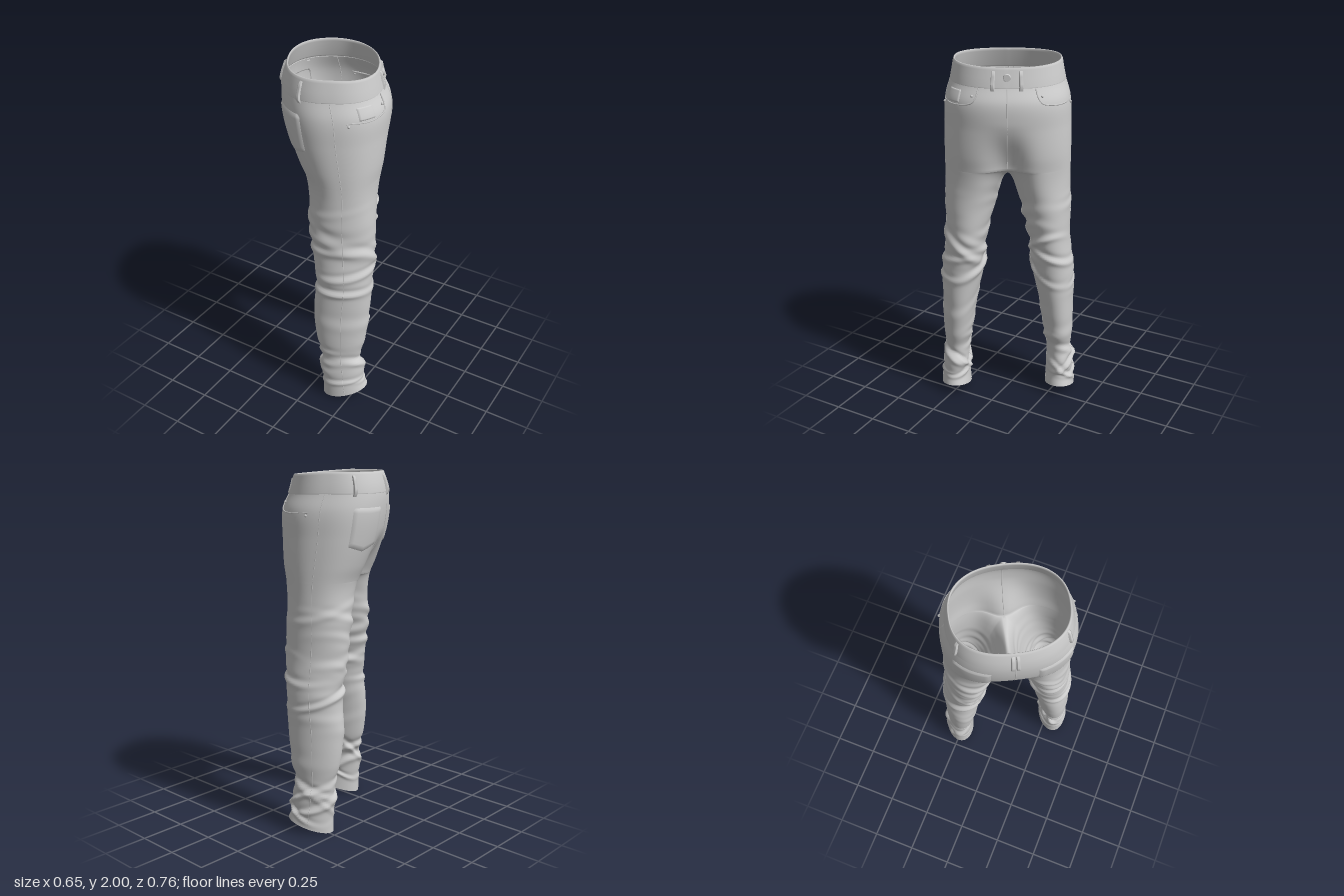
import * as THREE from 'three';
import { mergeGeometries, mergeVertices } from 'three/addons/utils/BufferGeometryUtils.js';

const CROTCH = 1.42, { smoothstep, lerp } = THREE.MathUtils;
const cloth = new THREE.MeshStandardMaterial({ color: 0xcccccc, side: THREE.DoubleSide });

// Smooth lookup of section sizes by height
function table(rows) {
  const n = rows[0].length - 1;
  const curve = new THREE.CubicInterpolant(
    new Float32Array(rows.map(r => r[0])), new Float32Array(rows.flatMap(r => r.slice(1))), n);
  const lo = rows[0][0], hi = rows[rows.length - 1][0];
  return y => Array.from(curve.evaluate(Math.min(hi - 1e-5, Math.max(lo, y))));
}
// height, half width, half depth, centre depth
const hipAt = table([
  [1.1, .342, .17, .012], [1.25, .344, .19, .01], [1.42, .346, .222, .002], [1.5, .347, .246, -.008],
  [1.65, .345, .272, -.027], [1.8, .337, .284, -.04], [1.9, .308, .262, -.059], [2, .287, .234, -.055],
]);
// height, centre across, centre depth, half width, half depth
const legAt = table([
  [0, .312, .026, .088, .13], [.1, .312, .015, .082, .12], [.2, .309, .01, .078, .126],
  [.3, .303, .001, .072, .114], [.4, .296, 0, .085, .138], [.6, .281, .003, .1, .158],
  [.8, .26, .016, .119, .158], [1, .236, .011, .117, .174], [1.2, .213, .003, .14, .182], [1.42, .195, 0, .152, .2],
]);

// Seeded cloth folds for each leg: thigh, knee, calf and ankle groups
function makeFolds(seed) {
  const rnd = () => (seed = (seed * 16807) % 2147483647) / 2147483647;
  const folds = [];
  // count, lowest, highest, size, width, first angle, angle range (0 is front, PI/2 outside)
  for (const [count, y0, y1, amp, width, from, range] of [
    [7, 1, 1.34, .008, .026, 1.5, 3.2], [8, .76, 1.02, .01, .022, 0, 6.28],
    [3, .4, .7, .004, .04, 0, 6.28], [7, .1, .34, .012, .018, 0, 6.28]])
    for (let i = 0; i < count; i++) folds.push({
      y: lerp(y0, y1, (i + rnd() * .8) / count), angle: from + rnd() * range,
      amp: amp * (.6 + .7 * rnd()), tilt: (rnd() - .5) * .2, width: width * (.7 + .6 * rnd()),
    });
  return folds;
}
const foldSets = { 1: makeFolds(4711), '-1': makeFolds(90210) };

// Half of the hip section: t = 0 front centre, 1 back centre (the back is flatter)
function hip(t, y) {
  const [w, d, c] = hipAt(y), k = Math.cos(t * Math.PI);
  const a = w * Math.pow(Math.max(0, Math.sin(t * Math.PI)), .87);
  let f = d * Math.sign(k) * Math.pow(Math.abs(k), k < 0 ? .8 : .87);
  f *= 1 - .3 * (1 - smoothstep(y, 1.42, 1.7)) * Math.exp(-((a / .1) ** 2));
  return new THREE.Vector3(a, y - .018 * Math.max(0, k) * smoothstep(y, 1.75, 2), f + c);
}
// Any point of one half: t 0..1 runs round the outside, 1..2 back along the inside leg
function point(side, t, y) {
  if (y >= CROTCH && t <= 1) { const p = hip(t, y); p.x *= side; return p; }
  const [la, lf, ra, rf] = legAt(y);
  const drop = Math.min(1, (CROTCH - y) / .26), inner = t > 1 ? Math.sin((t - 1) * Math.PI) : 0;
  // The inside leaves the crotch in a round arch, the outside more gently
  const arch = t > 1 ? 1 : Math.abs(Math.cos(t * Math.PI)) ** 6;
  const w = lerp(smoothstep(drop, 0, 1), Math.sqrt(drop * (2 - drop)), arch);
  const angle = t <= 1 ? -.9 + t * (Math.PI + 1.8) : Math.PI + .9 + (t - 1) * (Math.PI - 1.8);
  const top = t <= 1 ? hip(t, y) : hip(1, y).lerp(hip(0, y), t - 1);
  if (t > 1) top.x = 0;
  let bump = 0;
  for (const q of foldSets[side]) {
    const r = (y - q.y - q.tilt * Math.sin(angle - q.angle)) / q.width;
    if (Math.abs(r) < 4) bump += q.amp * (Math.exp(-r * r) - .6 * Math.exp(-((r - 1.5) ** 2)))
      * (.5 + .5 * Math.cos(angle - q.angle)) ** 1.5;
  }
  bump *= drop * smoothstep(y, 0, .08);
  const a = lerp(top.x, la + (ra + bump) * Math.sin(angle), w);
  const f = lerp(top.z, lf + (rf + bump) * Math.cos(angle), w);
  const hem = Math.max(0, 1 - y / .15) * (.036 + .27 * (f - lf));
  return new THREE.Vector3(side * a, y - .05 * inner * (1 - drop) + hem, f);
}
// Point lifted off the cloth along its normal
function lifted(side, t, y, off) {
  const e = .004, p = point(side, t, y), end = t <= 1 ? 1 : 2;
  const du = point(side, Math.min(end, t + e), y).sub(point(side, Math.max(0, t - e), y));
  const dv = point(side, t, Math.min(2, y + e)).sub(point(side, t, y - e));
  const n = du.cross(dv).multiplyScalar(side);
  if (t === 0 || t === 1) n.x = 0;
  return p.addScaledVector(n.normalize(), off);
}

// Grid surface from a rule of column and row
function grid(nu, nv, side, fn) {
  const pos = [], index = [];
  for (let j = 0; j <= nv; j++) for (let i = 0; i <= nu; i++) pos.push(...fn(i, j).toArray());
  for (let j = 0; j < nv; j++) for (let i = 0; i < nu; i++) {
    const a = j * (nu + 1) + i, b = a + 1, c = b + nu + 1, d = c - 1;
    index.push(...(side > 0 ? [a, b, c, a, c, d] : [a, c, b, a, d, c]));
  }
  const g = new THREE.BufferGeometry();
  g.setAttribute('position', new THREE.Float32BufferAttribute(pos, 3));
  g.setIndex(index);
  return g;
}
function weld(list) {
  const g = mergeVertices(mergeGeometries(list), 1e-4);
  g.computeVertexNormals();
  return g;
}

export function createModel() {
  const model = new THREE.Group(), jeans = new THREE.Group();
  model.name = 'jeans';
  jeans.name = 'turnedJeans';
  jeans.rotation.y = 2.06;
  jeans.position.set(.03, 0, .01);
  model.add(jeans);
  const add = (name, geometry) => {
    const m = new THREE.Mesh(geometry, cloth);
    m.name = name;
    jeans.add(m);
    return m;
  };
  const seam = (name, side, pts, r, off = 0) => add(name, new THREE.TubeGeometry(
    new THREE.CatmullRomCurve3(pts.map(([t, y]) => lifted(side, t, y, off))), pts.length * 4, r, 5));
  const patch = (name, side, t0, t1, y0, y1, off, point = 0, n = 14) => add(name, weld([
    grid(n, n, side, (i, j) => {
      const edge = i === 0 || j === 0 || i === n || j === n;
      const u = i / n, v = j / n, low = y0 - point * (1 - Math.abs(2 * u - 1));
      return lifted(side, lerp(t0, t1, u), lerp(low, y1, v), edge ? -.003 : off);
    })]));

  // Hips and both legs as one welded cloth
  const parts = [];
  for (const s of [1, -1]) {
    parts.push(grid(48, 40, s, (i, j) => point(s, i / 48, lerp(CROTCH, 1.97, j / 40))));
    // rows gather towards the crotch to keep its arch round
    parts.push(grid(72, 170, s, (i, j) => point(s, i <= 48 ? i / 48 : 1 + (i - 48) / 24,
      CROTCH * (1 - (1 - j / 170) ** 1.3))));
  }
  add('hipsAndLegs', weld(parts));

  // Thick waistband with a rounded top edge
  const band = [[1.885, -.002], [1.891, .003], [1.94, .004], [1.985, .005], [1.996, .003], [2, 0],
    [1.996, -.005], [1.985, -.007], [1.9, -.007], [1.89, -.002]];
  add('waistband', weld([1, -1].map(s =>
    grid(64, band.length - 1, s, (i, j) => lifted(s, i / 64, ...band[j])))));

  for (const s of [1, -1]) {
    // Belt loops
    patch('frontBeltLoop', s, .05, .075, 1.87, 1.99, .014, 0, 6);
    patch('sideBeltLoop', s, .655, .685, 1.87, 1.99, .014, 0, 6);
    patch('backBeltLoop', s, .983, 1, 1.87, 1.99, .014, 0, 6);

    // Pockets
    patch('backPocket', s, .67, .91, 1.61, 1.82, .007, .03);
    const opening = [[.14, 1.885], [.145, 1.84], [.165, 1.805], [.22, 1.79], [.32, 1.785], [.44, 1.79]];
    seam('frontPocketOpening', s, opening, .004, .001);

    // Rivets at the pocket ends
    for (const [t, y] of [[.17, 1.84], [.43, 1.775]]) {
      const rivet = add('rivet', new THREE.SphereGeometry(.007, 10, 8));
      rivet.position.copy(lifted(s, t, y, .003));
    }

    // Outer and inner leg seams
    const heights = (a, b, n) => Array.from({ length: n + 1 }, (_, i) => lerp(a, b, i / n));
    seam('outerSeam', s, heights(1.885, .02, 90).map(y => [.5, y]), .0022);
    seam('innerSeam', s, heights(1.3, .02, 70).map(y => [1.5, y]), .0022);
  }

  // Coin pocket, fly and centre back seam
  patch('coinPocket', -1, .25, .37, 1.795, 1.865, .004);
  seam('flySeam', 1, [1.885, 1.8, 1.7, 1.6, 1.5, 1.43].map(y => [0, y]), .003);
  seam('backSeam', 1, [1.885, 1.8, 1.7, 1.6, 1.5, 1.43].map(y => [1, y]), .003);

  // Waist button
  const button = add('button', new THREE.CylinderGeometry(.018, .021, .012, 20));
  button.rotation.x = Math.PI / 2;
  button.position.copy(lifted(1, 0, 1.945, .009));

  return model;
}
